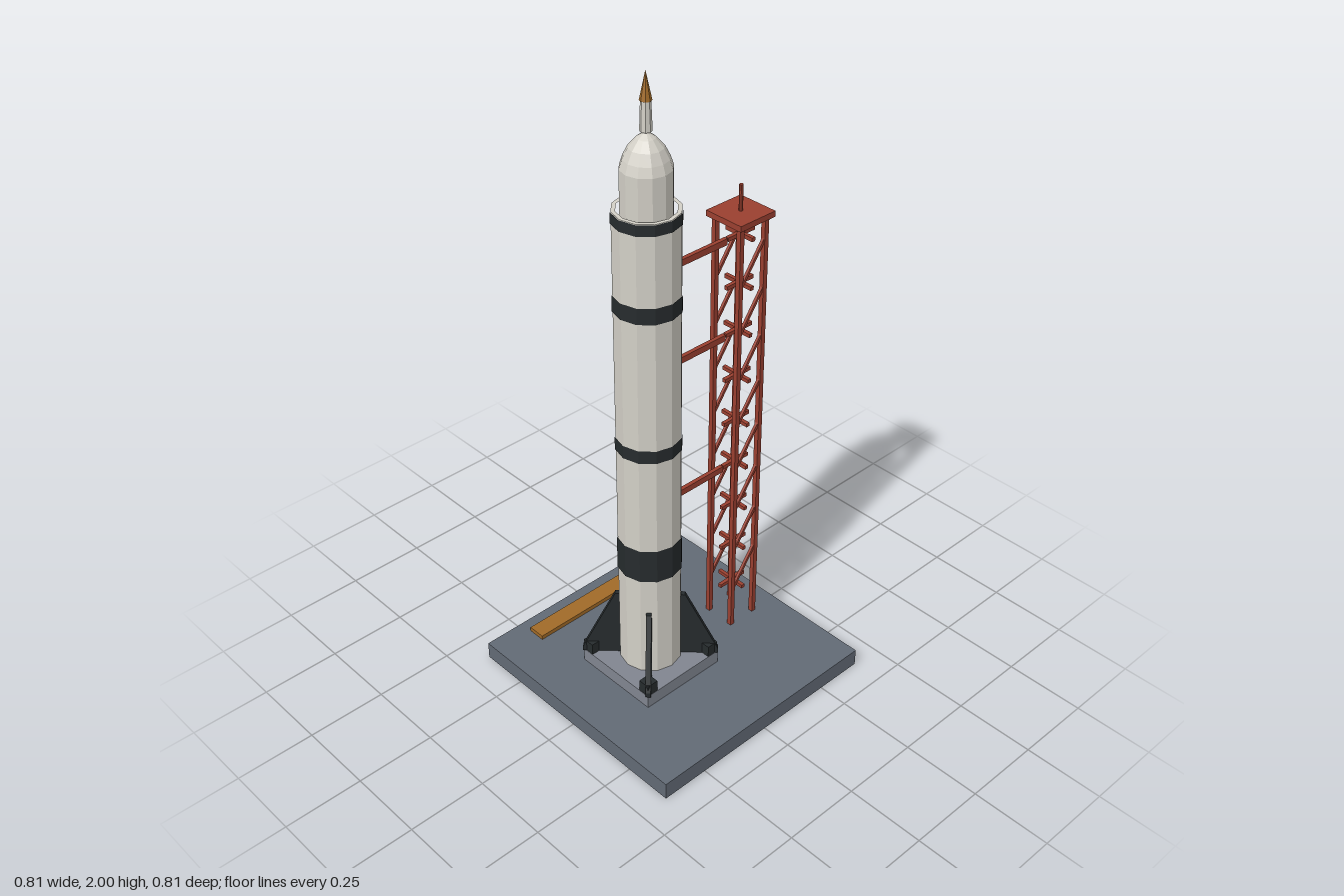
import * as THREE from 'three';

const mat = (color, side = THREE.FrontSide) =>
  new THREE.MeshStandardMaterial({ color, flatShading: true, side });
const WHITE = mat(0xd2cfc6), BLACK = mat(0x262b2d), RED = mat(0x9a4030), AMBER = mat(0xa06a28);
const SLATE = mat(0x626a75), STEEL = mat(0x80858f);

function add(parent, name, geometry, material, x = 0, y = 0, z = 0) {
  const mesh = new THREE.Mesh(geometry, material);
  mesh.name = name;
  mesh.position.set(x, y, z);
  parent.add(mesh);
  return mesh;
}

// Box given by its centre in x and z and its bottom and top heights
function slab(parent, name, material, w, d, y0, y1, x = 0, z = 0) {
  return add(parent, name, new THREE.BoxGeometry(w, y1 - y0, d), material, x, (y0 + y1) / 2, z);
}

const lathe = (points, sides) =>
  new THREE.LatheGeometry(points.map(([r, y]) => new THREE.Vector2(r, y)), sides);

function createRocket() {
  const rocket = new THREE.Group();
  rocket.name = 'rocket';
  rocket.position.x = -0.088;

  // Hull with an open rim at the top
  add(rocket, 'hull', lathe([[0.095, 0.1], [0.095, 1.622], [0.083, 1.622]], 12), WHITE);

  // Painted bands
  for (const [y0, y1] of [[0.45, 0.563], [0.876, 0.918], [1.326, 1.376], [1.588, 1.621]]) {
    add(rocket, 'band', new THREE.CylinderGeometry(0.0975, 0.0975, y1 - y0, 12, 1, true), BLACK, 0, (y0 + y1) / 2);
  }

  // Capsule, escape tower and tip
  add(rocket, 'capsule', lathe([
    [0.072, 1.56], [0.072, 1.738], [0.063, 1.765], [0.048, 1.795], [0.026, 1.82], [0, 1.838],
  ], 12), WHITE);
  add(rocket, 'escapeTower', new THREE.CylinderGeometry(0.014, 0.017, 0.085, 8), WHITE, 0, 1.88);
  add(rocket, 'tip', new THREE.ConeGeometry(0.017, 0.08, 8), AMBER, 0, 1.96);

  // Fins, feet and nozzles on the four diagonals
  const outline = new THREE.Shape([
    [0.085, 0.1], [0.207, 0.1], [0.207, 0.115], [0.105, 0.33], [0.085, 0.33],
  ].map(([x, y]) => new THREE.Vector2(x, y)));
  const finGeometry = new THREE.ExtrudeGeometry(outline, { depth: 0.016, bevelEnabled: false });
  finGeometry.translate(0, 0, -0.008);
  for (const sx of [-1, 1]) for (const sz of [-1, 1]) {
    add(rocket, 'fin', finGeometry, BLACK).rotation.y = Math.atan2(-sz, sx);
    slab(rocket, 'foot', BLACK, 0.038, 0.038, 0.1, 0.138, sx * 0.125, sz * 0.125);
    add(rocket, 'nozzle', new THREE.CylinderGeometry(0.02, 0.03, 0.05, 10), BLACK, sx * 0.045, 0.126, sz * 0.045);
  }
  return rocket;
}

function createServiceTower() {
  const tower = new THREE.Group();
  tower.name = 'serviceTower';
  tower.position.x = 0.26;
  const h = 0.048, firstLevel = 0.183, step = 0.1545, levels = 9;

  // Corner legs, roof and mast
  for (const sx of [-1, 1]) for (const sz of [-1, 1]) {
    slab(tower, 'leg', RED, 0.015, 0.015, 0.055, 1.475, sx * h, sz * h);
  }
  slab(tower, 'roof', RED, 0.134, 0.134, 1.471, 1.489);
  add(tower, 'mast', new THREE.CylinderGeometry(0.006, 0.006, 0.08, 8), RED, 0, 1.529);

  // Crossed bars at each level, diagonals between the levels
  for (let i = 0; i < levels; i++) {
    const y = firstLevel + i * step;
    slab(tower, 'crossBar', RED, 0.104, 0.012, y - 0.006, y + 0.006);
    slab(tower, 'crossBar', RED, 0.012, 0.104, y - 0.006, y + 0.006);
    if (i === levels - 1) continue;
    for (const sz of [-1, 1]) {
      const brace = add(tower, 'diagonalBrace', new THREE.BoxGeometry(0.009, Math.hypot(2 * h, step - 0.02), 0.009),
        RED, 0, y + step / 2, sz * h);
      brace.rotation.z = -Math.atan2(2 * h, step - 0.02);
    }
  }

  // Access arms reaching to the hull
  for (const y of [0.643, 1.105, 1.415]) {
    slab(tower, 'accessArm', RED, 0.2, 0.013, y - 0.01, y + 0.01, -0.155);
  }
  return tower;
}

export function createModel() {
  const model = new THREE.Group();
  model.name = 'rocketOnLaunchPad';
  slab(model, 'pad', SLATE, 0.81, 0.81, 0, 0.056);
  slab(model, 'pedestal', STEEL, 0.29, 0.29, 0.056, 0.1, -0.088);
  slab(model, 'plaque', AMBER, 0.424, 0.057, 0.056, 0.07, -0.059, -0.331);
  model.add(createRocket(), createServiceTower());
  return model;
}
